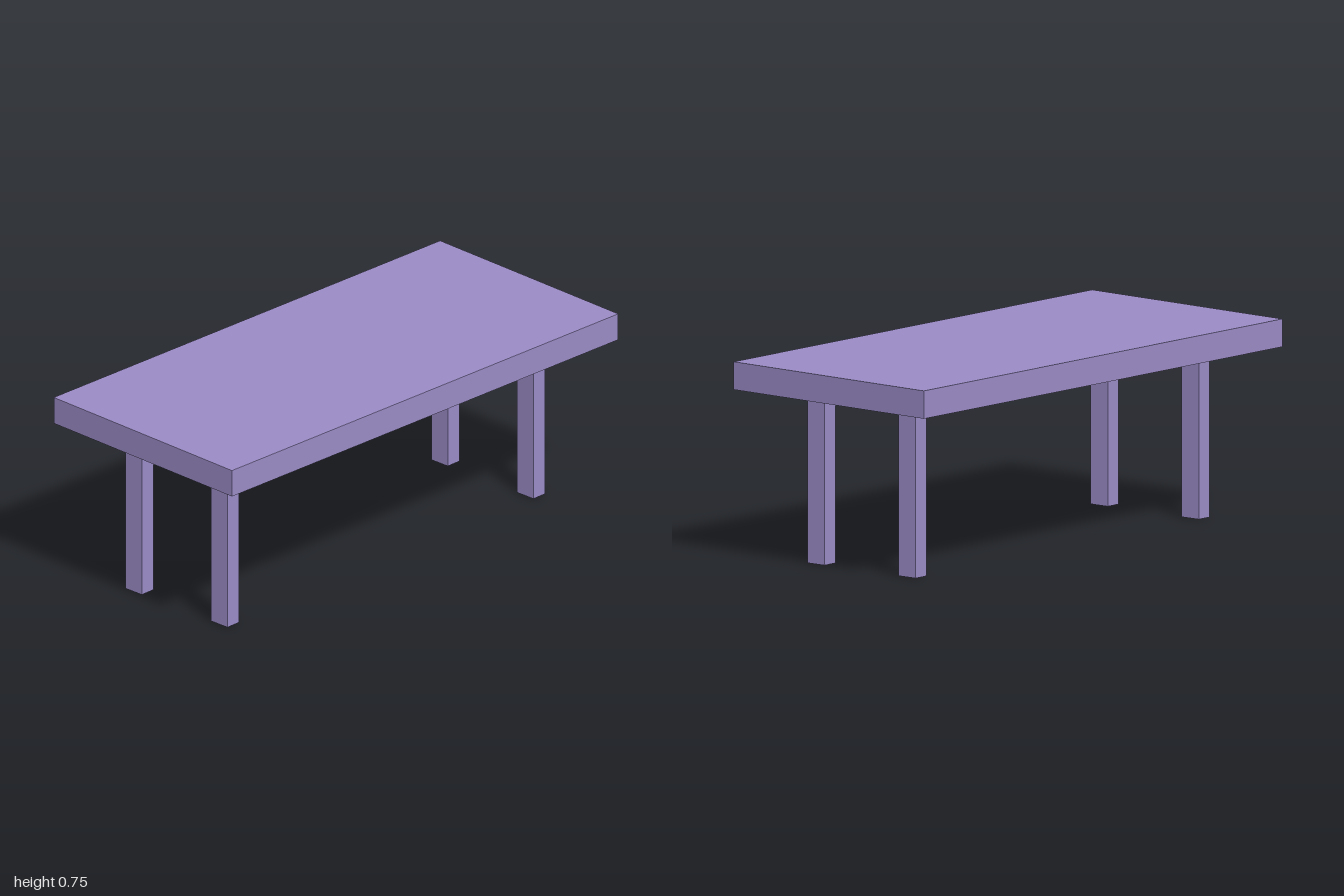
import * as THREE from 'three';

export function createModel() {
  const model = new THREE.Group();
  model.name = 'table';

  const purple = new THREE.MeshStandardMaterial({ color: 0x9b8cc7 });
  purple.name = 'soft purple';

  const TOP_Y = 0.745, LEG_HEIGHT = 0.641;

  // Thick rectangular slab
  const thickness = TOP_Y - LEG_HEIGHT;
  const tabletop = new THREE.Mesh(new THREE.BoxGeometry(0.928, thickness, 2), purple);
  tabletop.name = 'tabletop';
  tabletop.position.y = LEG_HEIGHT + thickness / 2;
  model.add(tabletop);

  // Four legs, set slightly askew under the slab
  const legGeometry = new THREE.BoxGeometry(0.082, LEG_HEIGHT, 0.063);
  for (const [zSide, zName] of [[1, 'front'], [-1, 'back']]) {
    for (const [xSide, xName] of [[1, 'Left'], [-1, 'Right']]) {
      const leg = new THREE.Mesh(legGeometry, purple);
      leg.name = `${zName}${xName}Leg`;
      leg.position.set(
        xSide * 0.215 + zSide * 0.014,
        LEG_HEIGHT / 2,
        zSide * 0.806 - xSide * 0.008 + 0.003
      );
      leg.rotation.y = 0.03;
      model.add(leg);
    }
  }

  return model;
}
